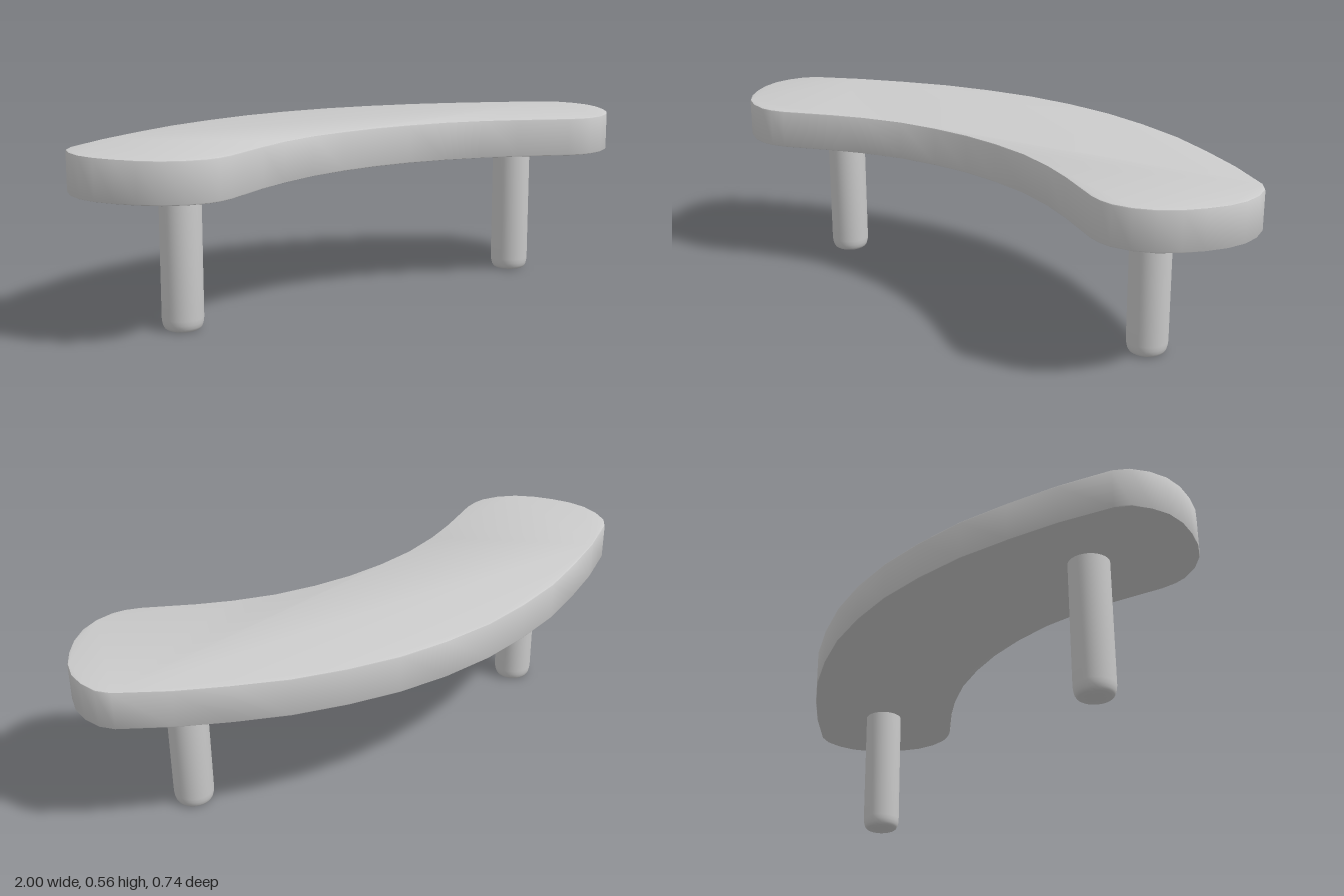
import * as THREE from 'three';
import { toCreasedNormals } from 'three/addons/utils/BufferGeometryUtils.js';

export function createModel() {
  const group = new THREE.Group();
  const material = new THREE.MeshStandardMaterial({ color: 0xcccccc });
  const add = (name, geometry, x = 0, z = 0) => {
    const mesh = new THREE.Mesh(toCreasedNormals(geometry, 0.6), material);
    mesh.name = name;
    mesh.position.set(x, 0, z);
    group.add(mesh);
  };

  // Curved seat slab: half outline (x, z) from back centre to front centre, mirrored
  const half = [
    [0, -0.372], [0.17, -0.362], [0.335, -0.33], [0.5, -0.282], [0.655, -0.215],
    [0.805, -0.14], [0.948, -0.052], [0.98, -0.013], [0.997, 0.045], [0.998, 0.105],
    [0.982, 0.165], [0.95, 0.225], [0.91, 0.28], [0.86, 0.327], [0.8, 0.358],
    [0.74, 0.37], [0.7, 0.366], [0.655, 0.351], [0.5, 0.27], [0.395, 0.224],
    [0.265, 0.182], [0.13, 0.159], [0, 0.151],
  ];
  const mirrored = half.slice(1, -1).reverse().map(([x, z]) => [-x, z]);
  const outline = [...half, ...mirrored].map(([x, z]) => new THREE.Vector2(x, -z));
  const bevel = 0.004, bottom = 0.436, top = 0.56;
  const seat = new THREE.ExtrudeGeometry(new THREE.Shape(outline), {
    depth: top - bottom - 2 * bevel,
    bevelThickness: bevel, bevelSize: bevel, bevelOffset: -bevel, bevelSegments: 2,
  });
  seat.rotateX(-Math.PI / 2).translate(0, bottom + bevel, 0);
  add('seat', seat);

  // Two round legs with softened feet
  const profile = [
    [0, 0], [0.049, 0], [0.055, 0.004], [0.059, 0.011], [0.062, 0.022],
    [0.0635, 0.036], [0.0635, 0.45], [0, 0.45],
  ].map(([r, y]) => new THREE.Vector2(r, y));
  for (const [name, side] of [['leftLeg', 1], ['rightLeg', -1]]) {
    add(name, new THREE.LatheGeometry(profile, 32), side * 0.662, 0.068);
  }
  return group;
}
